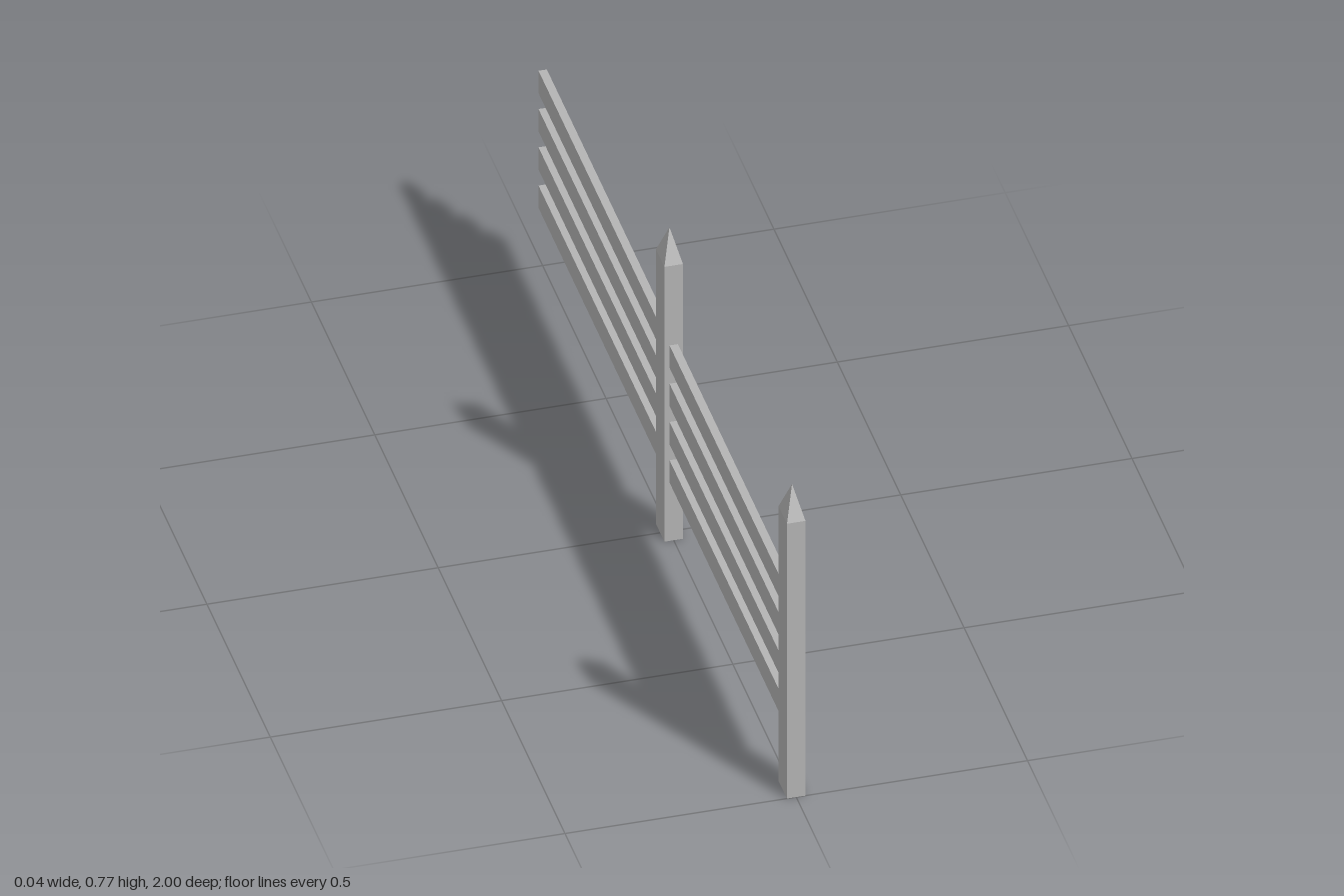
import * as THREE from 'three';

const POST_W = 0.04, POST_D = 0.067, POST_H = 0.7, TIP_H = 0.075;
const RAIL_T = 0.018, RAIL_H = 0.057;

export function createModel() {
  const fence = new THREE.Group();
  fence.name = 'fence';
  const grey = new THREE.MeshStandardMaterial({ color: 0xb4b4b4 });
  grey.name = 'grey wood';

  const add = (parent, name, geometry, y, z) => {
    const mesh = new THREE.Mesh(geometry, grey);
    mesh.name = name;
    mesh.position.set(0, y, z);
    parent.add(mesh);
  };

  // Four-sided point with a unit square base, stretched to the post's section
  const tip = new THREE.ConeGeometry(Math.SQRT1_2, TIP_H, 4, 1, true)
    .rotateY(Math.PI / 4)
    .scale(POST_W, 1, POST_D)
    .toNonIndexed();
  tip.computeVertexNormals();

  // Pointed posts: one at the front end, one in the middle
  const endZ = 1 - POST_D / 2;
  for (const [name, z] of [['frontPost', endZ], ['middlePost', 0]]) {
    const post = new THREE.Group();
    post.name = name;
    add(post, 'postShaft', new THREE.BoxGeometry(POST_W, POST_H, POST_D), POST_H / 2, z);
    add(post, 'postTip', tip, POST_H + TIP_H / 2, z);
    fence.add(post);
  }

  // Four rails in each bay; the back bay ends free
  const bays = [
    ['frontRail', 1 - POST_D, POST_D / 2],
    ['backRail', -POST_D / 2, -1],
  ];
  for (const [name, z0, z1] of bays) {
    const rail = new THREE.BoxGeometry(RAIL_T, RAIL_H, z0 - z1);
    for (let i = 0; i < 4; i++) add(fence, name + (i + 1), rail, 0.177 + i * 0.0975, (z0 + z1) / 2);
  }
  return fence;
}
